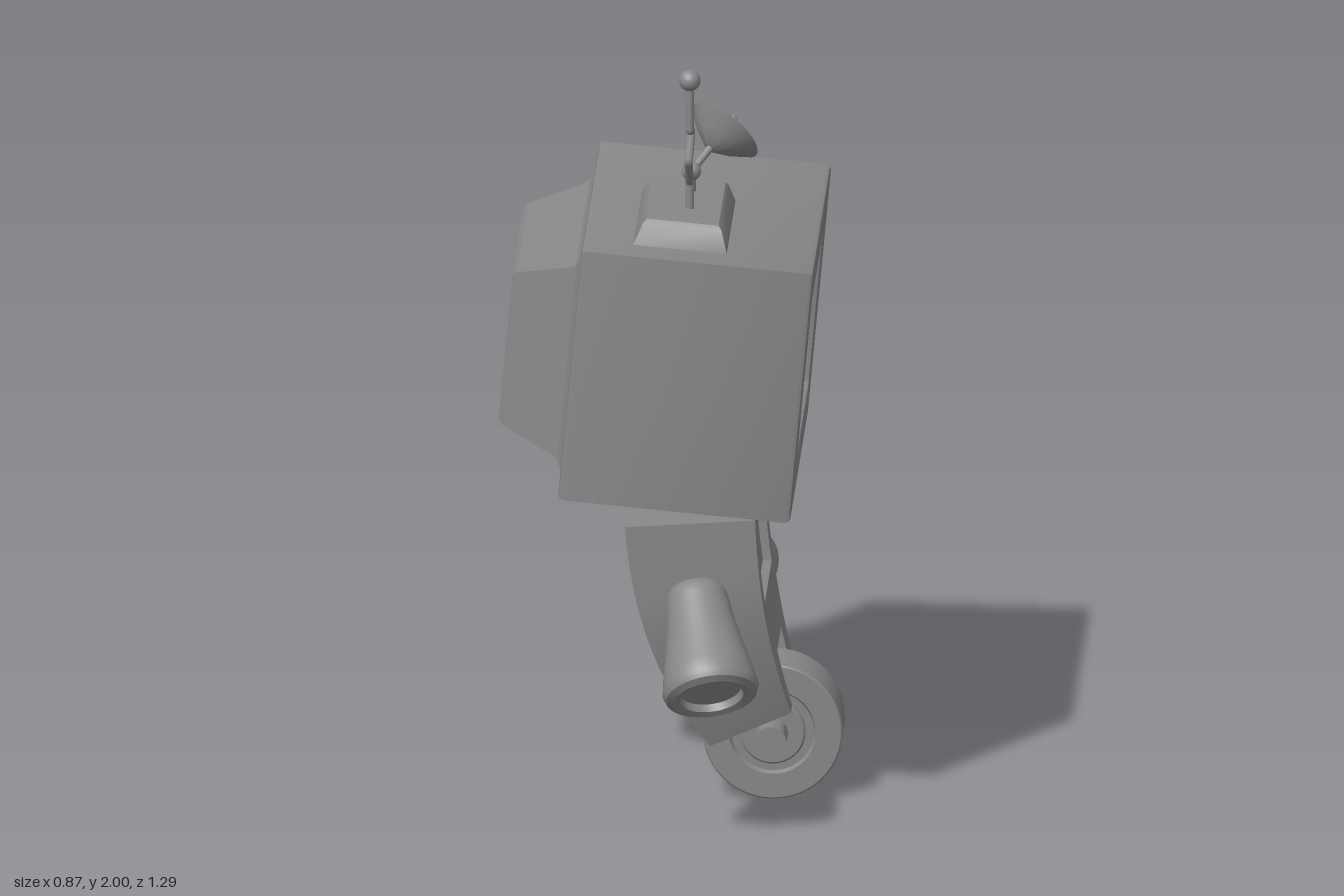
import * as THREE from 'three';
import { toCreasedNormals } from 'three/addons/utils/BufferGeometryUtils.js';

const V2 = (x, y) => new THREE.Vector2(x, y);
const V3 = (x, y, z) => new THREE.Vector3(x, y, z);
const darkGrey = new THREE.MeshStandardMaterial({ color: 0x888888 });
const green = new THREE.MeshStandardMaterial({ color: 0x26ff08 });

function add(parent, name, geometry, material = darkGrey) {
  const mesh = new THREE.Mesh(geometry, material);
  mesh.name = name;
  parent.add(mesh);
  return mesh;
}

// Skin four-cornered rings, counter-clockwise seen from the far end, with caps
function loft(rings) {
  const pos = [];
  const quad = (a, b, c, d) => [a, b, c, a, c, d].forEach(p => pos.push(...p));
  for (let k = 0; k < rings.length - 1; k++)
    for (let i = 0; i < 4; i++) {
      const j = (i + 1) % 4;
      quad(rings[k][i], rings[k][j], rings[k + 1][j], rings[k + 1][i]);
    }
  quad(...[...rings[0]].reverse());
  quad(...rings[rings.length - 1]);
  const g = new THREE.BufferGeometry();
  g.setAttribute('position', new THREE.Float32BufferAttribute(pos, 3));
  return toCreasedNormals(g, 0.5);
}

const lathe = (pts, sides = 40) =>
  toCreasedNormals(new THREE.LatheGeometry(pts.map(p => V2(...p)), sides), 0.6);

// Tilted monitor head with recessed screen and rear bulge
function makeHead() {
  const head = new THREE.Group();
  head.name = 'head';
  const b = 0.012, depth = 0.6, W = 0.48, H = 0.336, w = 0.362, h = 0.224, r = 0.02;
  const shape = new THREE.Shape([V2(-W, -H), V2(W, -H), V2(W, H), V2(-W, H)]);
  const corners = [[w, h], [-w, h], [-w, -h], [w, -h]];
  const hole = corners.flatMap(([x, y], i) => [0, 1, 2, 3].map(k => {
    const a = (i + k / 3) * Math.PI / 2;
    return V2(x - Math.sign(x) * r + r * Math.cos(a), y - Math.sign(y) * r + r * Math.sin(a));
  }));
  shape.holes.push(new THREE.Path(hole.reverse()));
  const shell = new THREE.ExtrudeGeometry(shape, {
    depth: depth - 2 * b, bevelThickness: b, bevelSize: b, bevelOffset: -b, bevelSegments: 2,
  });
  shell.translate(0, 0, -depth / 2 + b);
  shell.rotateY(Math.PI / 2);
  add(head, 'monitorShell', toCreasedNormals(shell, 0.5));
  add(head, 'screen', new THREE.BoxGeometry(0.02, 0.452, 0.73), green).position.x = 0.262;

  const back = [[-0.28, 0.285, 0.395], [-0.302, 0.283, 0.392], [-0.312, 0.264, 0.374],
    [-0.33, 0.253, 0.364], [-0.464, 0.206, 0.3], [-0.474, 0.194, 0.288]];
  add(head, 'rearBulge', loft(back.map(([x, y, z]) => [[x, -y, -z], [x, -y, z], [x, y, z], [x, y, -z]])));

  const plinth = [[0.32, 0.124, 0.232], [0.34, 0.12, 0.23], [0.39, 0.1, 0.198], [0.398, 0.092, 0.19]];
  add(head, 'antennaBase', loft(plinth.map(([y, x, z]) =>
    [[-x, y, -z], [-x, y, z], [x, y, z], [x, y, -z]]))).position.set(-0.05, 0, 0.15);

  head.position.set(0.052, 1.228, 0);
  head.rotation.z = -0.091;
  return head;
}

// Bent aerial with ball tip, and dish on a ball joint
function makeAntennas() {
  const g = new THREE.Group();
  g.name = 'antennas';
  const bends = [[1.6, 0.212], [1.695, 0.212], [1.77, 0.282], [1.81, 0.137], [1.838, 0.216], [1.97, 0.216]];
  const path = new THREE.CurvePath();
  bends.slice(1).forEach(([y, z], i) =>
    path.add(new THREE.LineCurve3(V3(0.05, bends[i][0], bends[i][1]), V3(0.05, y, z))));
  add(g, 'bentAerial', new THREE.TubeGeometry(path, 90, 0.011, 10));
  add(g, 'aerialTip', new THREE.SphereGeometry(0.028, 20, 14)).position.set(0.05, 1.972, 0.216);

  const joint = V3(0.047, 1.68, 0.06);
  add(g, 'dishStem', new THREE.CylinderGeometry(0.012, 0.012, 0.09, 12)).position.set(0.047, 1.635, 0.06);
  add(g, 'dishJoint', new THREE.SphereGeometry(0.025, 20, 14)).position.copy(joint);

  const dish = new THREE.Group();
  dish.name = 'dish';
  dish.position.copy(joint);
  dish.quaternion.setFromUnitVectors(V3(0, 1, 0), V3(0.56, 0.59, -0.58).normalize());
  add(dish, 'dishArm', new THREE.CylinderGeometry(0.01, 0.01, 0.1, 12)).position.y = 0.05;
  add(dish, 'dishBowl', lathe([[0, 0.08], [0.02, 0.082], [0.06, 0.108], [0.104, 0.146],
    [0.101, 0.149], [0.058, 0.114], [0.02, 0.091], [0, 0.089]], 32));
  add(dish, 'receiverRod', new THREE.CylinderGeometry(0.004, 0.016, 0.09, 12)).position.y = 0.133;
  add(dish, 'receiverTip', new THREE.SphereGeometry(0.012, 14, 10)).position.y = 0.182;
  g.add(dish);
  return g;
}

// Curved tapering torso in slabs: plain sides, recessed front panel, wheel slot
function makeTorso() {
  const torso = new THREE.Group();
  torso.name = 'torso';
  const rear = new THREE.QuadraticBezierCurve(V2(-0.115, 0.78), V2(-0.09, 0.43), V2(0.1, 0.168));
  const front = new THREE.QuadraticBezierCurve(V2(0.22, 0.803), V2(0.23, 0.52), V2(0.308, 0.26));
  const steps = [0, 0.075, 0.08, 0.16, 0.24, 0.33, 0.43, 0.435, 0.5, 0.58, 0.65, 0.72, 0.8, 0.87, 0.94, 1];
  // only the part outside the wheel slot tapers
  const taper = (z, t) => {
    const w = 0.255 - 0.085 * Math.max(0, (t - 0.3) / 0.7) ** 1.6;
    const a = Math.abs(z);
    return a <= 0.1 ? z : Math.sign(z) * (0.1 + (a - 0.1) * (w - 0.1) / 0.155);
  };
  const slab = (name, z0, z1, recessed, end) => add(torso, name, loft(
    steps.filter(t => t <= end).map(t => {
      const r = rear.getPoint(t), f = front.getPoint(t);
      if (recessed && t > 0.077 && t < 0.432) f.x -= 0.022;
      const a = taper(z0, t), b = taper(z1, t);
      return [[r.x, r.y, a], [f.x, f.y, a], [f.x, f.y, b], [r.x, r.y, b]];
    })));
  slab('torsoRightSide', -0.255, -0.182, false, 1);
  slab('torsoRightFork', -0.182, -0.103, true, 1);
  slab('torsoCentre', -0.103, 0.103, true, 0.72);
  slab('torsoLeftFork', 0.103, 0.182, true, 1);
  slab('torsoLeftSide', 0.182, 0.255, false, 1);
  return torso;
}

// Flared arm with a rounded shoulder and a thick-rimmed hollow end
function makeArm(side) {
  const arm = add(new THREE.Group(), side > 0 ? 'leftArm' : 'rightArm', lathe([
    [0, 0.022], [0.078, 0.022], [0.082, 0.002], [0.1, -0.004], [0.118, 0.006], [0.125, 0.024],
    [0.117, 0.07], [0.102, 0.14], [0.089, 0.21], [0.081, 0.275],
    [0.078, 0.295], [0.066, 0.315], [0.045, 0.325], [0, 0.33]]));
  const hand = V3(0.124, 0.419, side * 0.563), shoulder = V3(0.07, 0.65, side * 0.345);
  arm.position.copy(hand);
  arm.quaternion.setFromUnitVectors(V3(0, 1, 0), shoulder.sub(hand).normalize());
  return arm;
}

// Wheel with hub and axle in one turned profile
function makeWheel() {
  const half = [[0, -0.165], [0.04, -0.165], [0.04, -0.082], [0.08, -0.082], [0.085, -0.077],
    [0.085, -0.066], [0.106, -0.066], [0.112, -0.078], [0.176, -0.078], [0.18, -0.074]];
  const profile = [...half, ...half.map(([r, y]) => [r, -y]).reverse()];
  const wheel = add(new THREE.Group(), 'wheel', lathe(profile, 48));
  wheel.rotation.x = Math.PI / 2;
  wheel.position.set(0.256, 0.18, 0);
  return wheel;
}

export function createModel() {
  const model = new THREE.Group();
  model.name = 'robot';
  model.add(makeHead(), makeAntennas(), makeTorso(), makeArm(1), makeArm(-1), makeWheel());
  return model;
}
